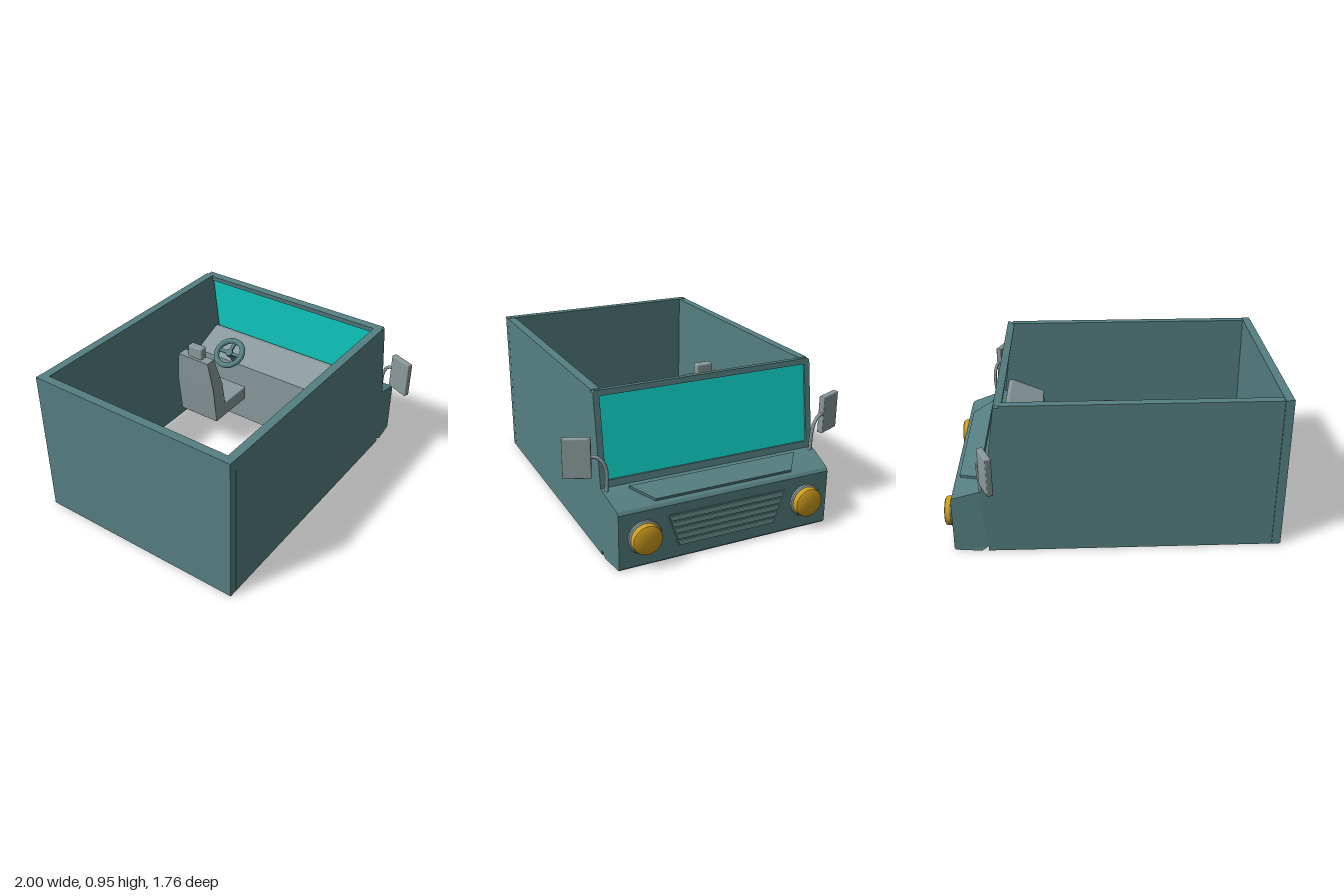
import * as THREE from 'three';
import { RoundedBoxGeometry } from 'three/addons/geometries/RoundedBoxGeometry.js';
import { toCreasedNormals } from 'three/addons/utils/BufferGeometryUtils.js';

const paint = (name, color) => {
  const m = new THREE.MeshStandardMaterial({ color });
  m.name = name;
  return m;
};

export function createModel() {
  const root = new THREE.Group();
  root.name = 'vanCab';
  const teal = paint('bodyTeal', 0x557f81);
  const grey = paint('trimGrey', 0x8a9a9c);
  const cyan = paint('glassCyan', 0x10d8ce);
  const amber = paint('lampAmber', 0xcc9c1e);
  const green = paint('grilleGreen', 0x6f9f94);

  const add = (name, geo, mat, parent = root) => {
    const m = new THREE.Mesh(geo, mat);
    m.name = name;
    parent.add(m);
    return m;
  };
  const poly = pts => new THREE.Shape(pts.map(p => new THREE.Vector2(p[0], p[1])));
  // Side profile in x,y swept across z between z0 and z1
  const sweep = (pts, z0, z1) =>
    new THREE.ExtrudeGeometry(poly(pts), { depth: z1 - z0, bevelEnabled: false }).translate(0, 0, z0);
  // Lays a flat part on a sloping plane whose uphill direction is (dx, dy)
  const lay = (obj, x, y, z, dx, dy) => {
    const l = Math.hypot(dx, dy);
    const Y = new THREE.Vector3(dx / l, dy / l, 0);
    const X = new THREE.Vector3(0, 0, -1);
    obj.quaternion.setFromRotationMatrix(new THREE.Matrix4().makeBasis(X, Y, X.clone().cross(Y)));
    obj.position.set(x, y, z);
    return obj;
  };

  // Open-topped box body
  add('backWall', new THREE.BoxGeometry(0.052, 0.945, 1.36).translate(-0.974, 0.4725, 0), teal);
  const side = [[-0.946, 0], [0.74, 0], [0.74, 0.40], [0.71, 0.41], [0.63, 0.943], [-0.946, 0.943]];
  add('leftWall', sweep(side, -0.68, -0.628), teal);
  add('rightWall', sweep(side, 0.628, 0.68), teal);

  // Bonnet block, narrowing towards the nose
  const nose = sweep([[0.74, 0.03], [0.78, 0.0], [0.935, 0], [0.943, 0.01], [0.943, 0.335],
    [0.93, 0.352], [0.78, 0.4], [0.74, 0.41], [0.7, 0.41]], -0.68, 0.68);
  const p = nose.attributes.position;
  for (let i = 0; i < p.count; i++) {
    const t = Math.max(0, (p.getX(i) - 0.78) / 0.16);
    p.setZ(i, p.getZ(i) * (1 - 0.025 * t));
  }
  nose.computeVertexNormals();
  add('bonnet', nose, teal);
  const panel = new THREE.ExtrudeGeometry(
    poly([[-0.43, 0], [0.43, 0], [0.53, 0.135], [-0.53, 0.135]]), { depth: 0.025, bevelEnabled: false });
  lay(add('bonnetPanel', panel, teal), 0.905, 0.352, 0, -0.15, 0.048);

  // Windscreen frame and glass
  const frame = poly([[-0.68, 0], [0.68, 0], [0.68, 0.53], [0.67, 0.541], [-0.67, 0.541], [-0.68, 0.53]]);
  const hole = new THREE.Path();
  const [hx, h0, h1, r] = [0.645, 0.04, 0.508, 0.015];
  hole.moveTo(-hx, h0 + r).lineTo(-hx, h1 - r).quadraticCurveTo(-hx, h1, -hx + r, h1)
    .lineTo(hx - r, h1).quadraticCurveTo(hx, h1, hx, h1 - r)
    .lineTo(hx, h0 + r).quadraticCurveTo(hx, h0, hx - r, h0)
    .lineTo(-hx + r, h0).quadraticCurveTo(-hx, h0, -hx, h0 + r);
  frame.holes.push(hole);
  const frameGeo = new THREE.ExtrudeGeometry(frame, { depth: 0.045, bevelEnabled: false }).translate(0, 0, -0.045);
  lay(add('windscreenFrame', frameGeo, teal), 0.742, 0.41, 0, -0.08, 0.535);
  const glass = new THREE.BoxGeometry(1.3, 0.475, 0.009).translate(0, 0.274, -0.017);
  lay(add('windscreen', glass, cyan), 0.742, 0.41, 0, -0.08, 0.535);

  // Grille with tapering slats
  const backing = new THREE.ExtrudeGeometry(
    poly([[-0.305, 0.07], [0.305, 0.07], [0.372, 0.278], [-0.372, 0.278]]), { depth: 0.004, bevelEnabled: false });
  lay(add('grilleBacking', backing, teal), 0.942, 0, 0, 0, 1);
  for (let i = 0; i < 5; i++) {
    const y = 0.08 + i * 0.04;
    const w = 0.3 + i * 0.0135;
    const slat = new THREE.ExtrudeGeometry(
      poly([[-w, 0], [w, 0], [w + 0.01, 0.029], [-w - 0.01, 0.029]]), { depth: 0.006, bevelEnabled: false });
    lay(add('grilleSlat', slat, green), 0.946, y, 0, 0, 1);
  }

  // Headlamps and door mirrors, one pair each side
  const lathe = pts => toCreasedNormals(
    new THREE.LatheGeometry(pts.map(q => new THREE.Vector2(q[0], q[1])), 40).rotateZ(-Math.PI / 2), 0.7);
  for (const s of [-1, 1]) {
    const lamp = new THREE.Group();
    lamp.name = 'headlamp';
    lamp.position.set(0.94, 0.18, s * 0.512);
    add('lampRing', lathe([[0.098, 0], [0.098, 0.016], [0.09, 0.022], [0, 0.022]]), grey, lamp);
    add('lampLens', lathe([[0.089, 0.02], [0.089, 0.042], [0.085, 0.053], [0.074, 0.059], [0, 0.06]]), amber, lamp);
    root.add(lamp);

    const arm = new THREE.CatmullRomCurve3([[0.765, 0.4, 0.655], [0.773, 0.53, 0.657], [0.77, 0.58, 0.675],
      [0.76, 0.608, 0.705], [0.745, 0.615, 0.75]].map(q => new THREE.Vector3(q[0], q[1], s * q[2])));
    add('mirrorArm', new THREE.TubeGeometry(arm, 24, 0.0105, 10), grey);
    const plate = add('mirror', new RoundedBoxGeometry(0.036, 0.23, 0.155, 2, 0.006), grey);
    plate.position.set(0.716, 0.605, s * 0.802);
    plate.rotation.y = -s * 0.4;
  }

  // Dashboard running down to the floor line
  add('dashboard', sweep([[0.434, 0.004], [0.74, 0.004], [0.735, 0.2], [0.69, 0.42], [0.675, 0.53],
    [0.65, 0.53], [0.434, 0.44]], -0.628, 0.628), grey);

  // Driver's seat
  const seat = new THREE.Group();
  seat.name = 'seat';
  seat.position.z = -0.315;
  add('seatCushion', new RoundedBoxGeometry(0.34, 0.1, 0.29, 2, 0.008).translate(0.2, 0.28, 0), grey, seat);
  const back = sweep([[0.03, 0.24], [0.13, 0.32], [0.1, 0.5], [0.05, 0.7], [-0.02, 0.7], [0.0, 0.5]], -0.145, 0.145);
  const b = back.attributes.position;
  for (let i = 0; i < b.count; i++) if (b.getY(i) > 0.6) b.setZ(i, b.getZ(i) * 0.8);
  back.computeVertexNormals();
  add('seatBack', back, grey, seat);
  add('headrest', new RoundedBoxGeometry(0.055, 0.085, 0.11, 2, 0.012).translate(0.025, 0.735, 0), grey, seat);
  root.add(seat);

  // Steering wheel with three spokes and a column
  const wheel = new THREE.Group();
  wheel.name = 'steeringWheel';
  add('wheelRim', new THREE.TorusGeometry(0.095, 0.019, 12, 36), teal, wheel);
  add('wheelHub', new THREE.CylinderGeometry(0.026, 0.026, 0.025, 20).rotateX(Math.PI / 2), teal, wheel);
  for (const a of [0, Math.PI, Math.PI * 1.5]) {
    add('wheelSpoke', new THREE.BoxGeometry(0.09, 0.022, 0.014).translate(0.045, 0, 0).rotateZ(a), teal, wheel);
  }
  add('steeringColumn', new THREE.CylinderGeometry(0.016, 0.016, 0.16, 14).rotateX(Math.PI / 2).translate(0, 0, -0.08), teal, wheel);
  root.add(lay(wheel, 0.4, 0.53, -0.328, -0.83, -0.56));

  return root;
}
